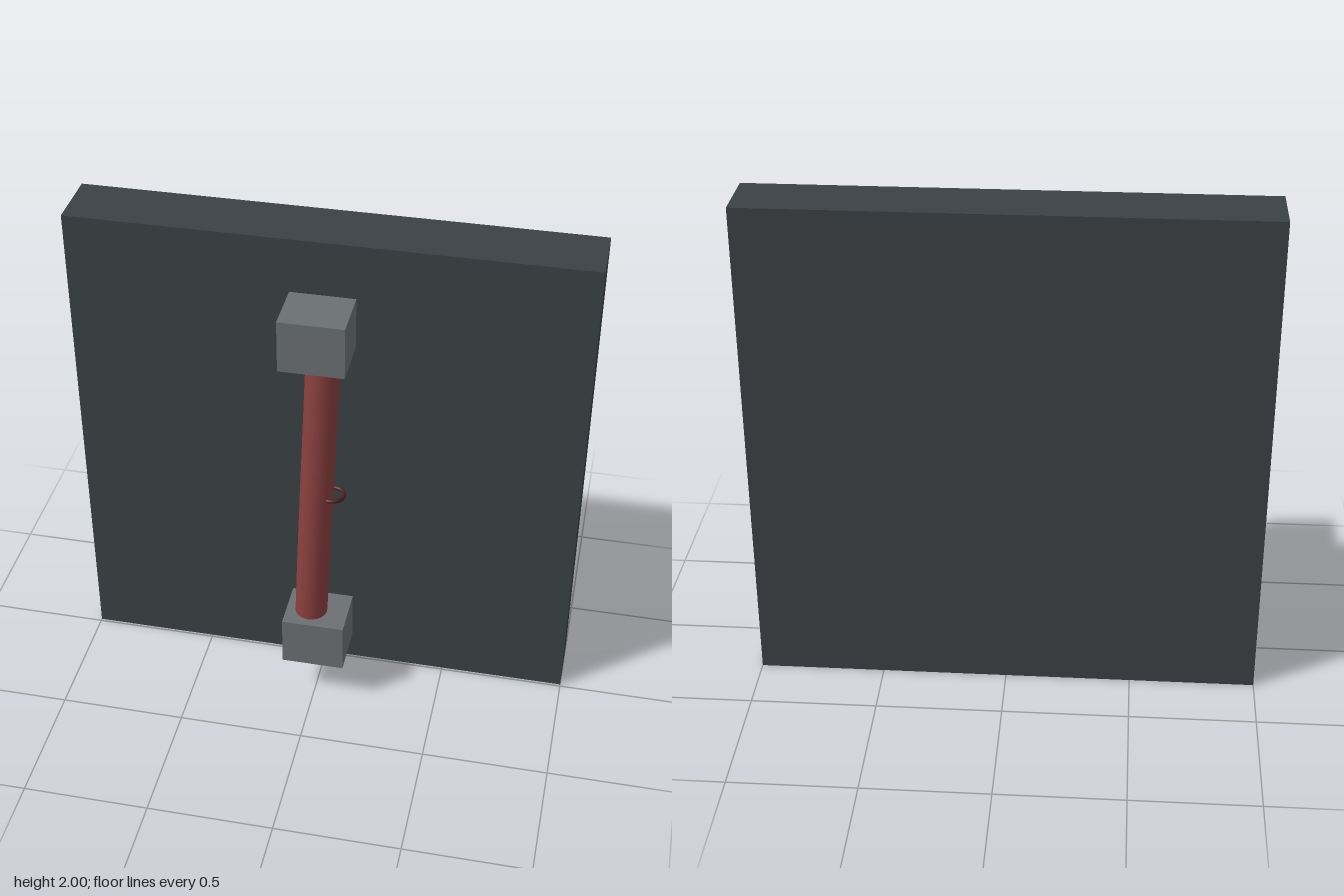
import * as THREE from 'three';

const paint = (color) => new THREE.MeshStandardMaterial({ color });

export function createModel() {
  const model = new THREE.Group();
  const add = (name, geometry, material, x = 0, y = 0, z = 0) => {
    const mesh = new THREE.Mesh(geometry, material);
    mesh.name = name;
    mesh.position.set(x, y, z);
    model.add(mesh);
    return mesh;
  };

  // Thick square back panel
  add('backPanel', new THREE.BoxGeometry(2, 2, 0.25), paint(0x3b4145), 0, 1, -0.135);

  // Mounting blocks at both ends of the handle
  const blockGeometry = new THREE.BoxGeometry(0.25, 0.21, 0.21);
  const blockMaterial = paint(0x6b7073);
  add('lowerBlock', blockGeometry, blockMaterial, 0, 0.285, 0.16);
  add('upperBlock', blockGeometry, blockMaterial, 0, 1.715, 0.16);

  // Slightly leaning grip, bowed a little to the front
  const path = new THREE.CatmullRomCurve3([
    new THREE.Vector3(-0.025, 0.385, 0.165),
    new THREE.Vector3(-0.013, 0.69, 0.169),
    new THREE.Vector3(0, 1, 0.171),
    new THREE.Vector3(0.013, 1.31, 0.169),
    new THREE.Vector3(0.025, 1.615, 0.165),
  ]);
  add('grip', new THREE.TubeGeometry(path, 32, 0.065, 24), paint(0x8a403e));

  // Small ring set into the side of the grip
  const ring = add('sideRing', new THREE.TorusGeometry(0.045, 0.008, 10, 32), paint(0x4a1c1c), 0.062, 1, 0.17);
  ring.rotation.x = Math.PI / 2;

  return model;
}
